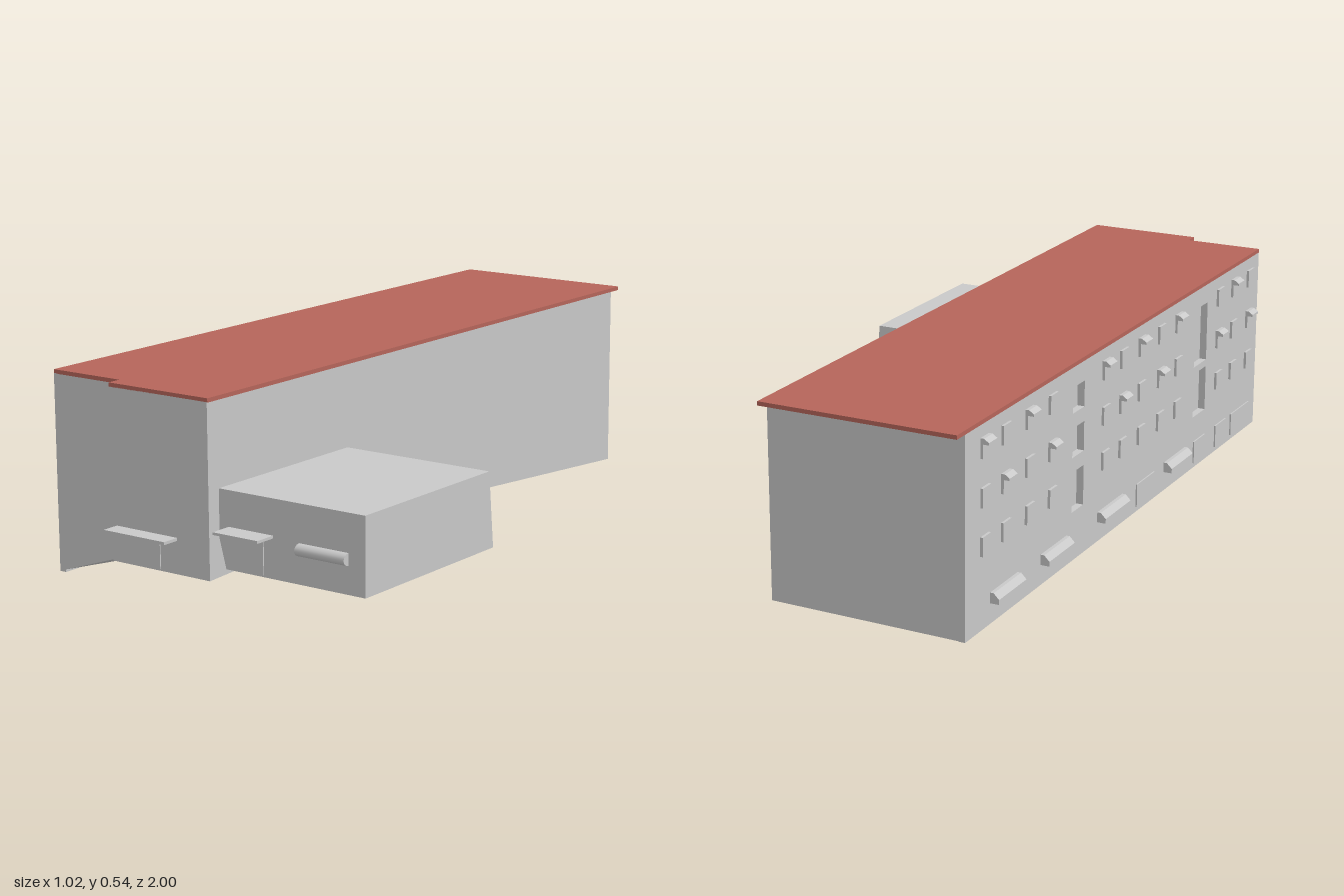
import * as THREE from 'three';
import { ConvexGeometry } from 'three/addons/geometries/ConvexGeometry.js';

const WALL = -0.485; // outer plane of the window facade

export function createModel() {
  const group = new THREE.Group();
  const concrete = new THREE.MeshStandardMaterial({ color: 0xc8c8c8 });
  concrete.name = 'concrete grey';
  const tile = new THREE.MeshStandardMaterial({ color: 0xb5655a });
  tile.name = 'roof red';

  const add = (name, geometry, material = concrete) => {
    const mesh = new THREE.Mesh(geometry, material);
    mesh.name = name;
    group.add(mesh);
    return mesh;
  };
  const shapeOf = pts => new THREE.Shape(pts.map(p => new THREE.Vector2(...p)));
  // box given by its limits
  const box = (name, x0, x1, y0, y1, z0, z1) =>
    add(name, new THREE.BoxGeometry(x1 - x0, y1 - y0, z1 - z0)
      .translate((x0 + x1) / 2, (y0 + y1) / 2, (z0 + z1) / 2));
  // x/y profile drawn out along z
  const prism = (name, pts, z0, z1) =>
    add(name, new THREE.ExtrudeGeometry(shapeOf(pts), { depth: z1 - z0, bevelEnabled: false })
      .translate(0, 0, z0));

  // Main block: straight walls over a foot that follows sloping ground
  const top = 0.535, back = -0.96;
  const foot = [
    [-0.465, 0.006, back], [0.06, 0.01, back], [0.06, 0.105, 0.36], [0.06, 0.08, 0.95],
    [-0.26, 0.08, 0.95], [-0.26, 0.08, 0.91], [-0.465, 0.012, 0.91],
  ];
  const verts = [];
  foot.forEach((a, i) => {
    const b = foot[(i + 1) % foot.length];
    const at = [a[0], top, a[2]], bt = [b[0], top, b[2]];
    verts.push(...a, ...at, ...bt, ...a, ...bt, ...b);
  });
  [[6, 0, 1], [6, 1, 2], [6, 2, 5], [5, 2, 3], [5, 3, 4]].forEach(t =>
    t.forEach(i => verts.push(...foot[i])));
  const block = new THREE.BufferGeometry();
  block.setAttribute('position', new THREE.Float32BufferAttribute(verts, 3));
  block.computeVertexNormals();
  add('mainBlock', block);

  // Window facade: slab with stairwell recesses cut through it
  const facade = shapeOf([[back, 0.005], [0.91, 0.005], [0.91, top], [back, top]]);
  const recesses = [
    [-0.37, -0.3, 0.14, 0.25], [-0.37, -0.3, 0.29, 0.37], [-0.37, -0.3, 0.41, 0.48],
    [0.43, 0.52, 0.16, 0.29], [0.43, 0.52, 0.31, 0.48],
  ];
  recesses.forEach(([z0, z1, y0, y1]) => {
    facade.holes.push(new THREE.Path(
      [[z0, y0], [z0, y1], [z1, y1], [z1, y0]].map(p => new THREE.Vector2(...p))));
  });
  add('windowFacade', new THREE.ExtrudeGeometry(facade, { depth: 0.02, bevelEnabled: false })
    .rotateY(-Math.PI / 2).translate(-0.465, 0, 0));

  // Windows in three storeys, some with a small sloped hood
  const columns = [-0.86, -0.75, -0.62, -0.49, -0.17, -0.06, 0.06, 0.19, 0.31, 0.61, 0.72, 0.84];
  [0.2, 0.325, 0.45].forEach((y, row) => columns.forEach((z, col) => {
    box('windowFrame', WALL - 0.007, WALL, y, y + 0.05, z - 0.022, z + 0.022);
    if (row > 0 && (col + row) % 2 === 0) {
      prism('windowHood', [[WALL, y + 0.037], [-0.508, y + 0.037], [-0.508, y + 0.043],
        [-0.495, y + 0.052], [WALL, y + 0.052]], z - 0.022, z + 0.022);
    }
  }));

  // Wide basement hoods
  [[-0.83, -0.68], [-0.55, -0.4], [-0.21, -0.05], [0.23, 0.38]].forEach(([z0, z1]) =>
    prism('basementHood', [[WALL, 0.06], [-0.51, 0.06], [-0.51, 0.073],
      [-0.495, 0.088], [WALL, 0.088]], z0, z1));

  // Flat basement doors and panels
  [[0.04, 0.16], [0.44, 0.52], [0.6, 0.68], [0.72, 0.86]].forEach(([z0, z1]) =>
    box('basementPanel', WALL - 0.004, WALL, 0.02, 0.085, z0, z1));

  // Flat roof with a rear overhang and the stepped front
  const roof = shapeOf([[-0.485, -0.91], [-0.26, -0.91], [-0.26, -0.95],
    [0.062, -0.95], [0.062, 1], [-0.485, 1]]);
  add('roof', new THREE.ExtrudeGeometry(roof, { depth: 0.011, bevelEnabled: false })
    .rotateX(-Math.PI / 2).translate(0, 0.534, 0), tile);

  // Side annex with a leaning rear wall and a cut lower corner
  add('annex', new ConvexGeometry([
    [0.08, 0.105, 0.91], [0.06, 0.18, 0.91], [0.06, 0.31, 0.91], [0.51, 0.31, 0.91],
    [0.51, 0.105, 0.91], [0.06, 0.105, 0.36], [0.51, 0.105, 0.36],
    [0.06, 0.31, 0.38], [0.51, 0.31, 0.38],
  ].map(p => new THREE.Vector3(...p))));

  // Entrance canopies with doors below
  box('mainCanopy', -0.245, -0.045, 0.167, 0.175, 0.95, 1.0);
  box('annexCanopy', 0.09, 0.23, 0.209, 0.216, 0.91, 0.972);
  box('mainDoor', -0.2, -0.1, 0.085, 0.16, 0.95, 0.953);
  box('annexDoor', 0.12, 0.2, 0.11, 0.2, 0.91, 0.913);

  // Rounded awning on the annex front
  const awning = new THREE.CylinderGeometry(0.02, 0.02, 0.15, 12, 1, false, 0, Math.PI)
    .rotateY(-Math.PI / 2).rotateZ(Math.PI / 2).scale(1, 0.8, 1);
  add('annexAwning', awning).position.set(0.385, 0.194, 0.91);
  return group;
}
